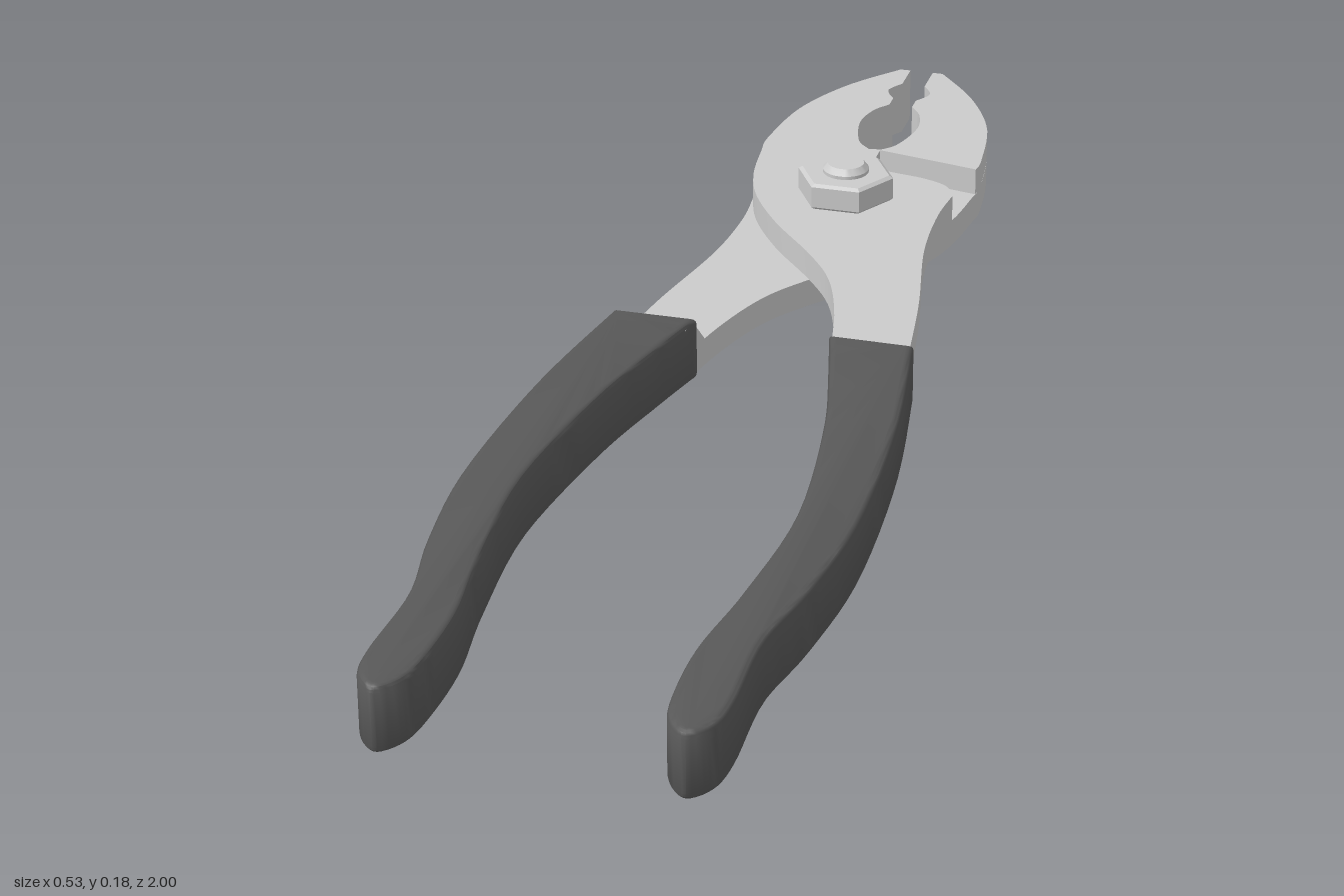
import * as THREE from 'three';
import { toCreasedNormals } from 'three/addons/utils/BufferGeometryUtils.js';

const MID = 0.087;      // height where the two plates meet
const HALF = 0.041;     // thickness of one plate
const PIVOT_Z = -0.515;

const steel = new THREE.MeshStandardMaterial({ color: 0xcccccc });
const rubber = new THREE.MeshStandardMaterial({ color: 0x585858 });

function mesh(name, geometry, material, crease = 0.5) {
  const m = new THREE.Mesh(toCreasedNormals(geometry, crease), material);
  m.name = name;
  return m;
}

// Joins runs of (x, z) points; each run is a smooth curve, with corners between runs.
function outline(runs) {
  const points = [];
  for (const run of runs) {
    const v = run.map(([x, z]) => new THREE.Vector2(x, z));
    const samples = v.length > 2 ? new THREE.SplineCurve(v).getPoints(v.length * 5) : v;
    for (const p of samples) {
      if (!points.length || points[points.length - 1].distanceTo(p) > 1e-4) points.push(p);
    }
  }
  if (points[0].distanceTo(points[points.length - 1]) < 1e-4) points.pop();
  return new THREE.Shape(points);
}

// Extrudes a plan-view shape upward from y0 to y1, with optional rounded edges.
function slab(shape, y0, y1, round = 0) {
  const g = new THREE.ExtrudeGeometry(shape, {
    depth: y1 - y0 - 2 * round, bevelEnabled: round > 0, bevelSize: round,
    bevelThickness: round, bevelOffset: -round, bevelSegments: 4,
  });
  return g.rotateX(Math.PI / 2).translate(0, y1 - round, 0);
}

// Gripping edge of the jaw, from the throat to the tip
const jawInner = [
  [[-0.008, -0.688], [-0.03, -0.715], [-0.045, -0.78], [-0.037, -0.83], [-0.018, -0.86]],
  [[-0.018, -0.86], [-0.018, -0.885]],
  [[-0.018, -0.885], [-0.033, -0.915], [-0.018, -0.945]],
  [[-0.018, -0.945], [-0.018, -1]],
  [[-0.018, -1], [-0.034, -1]],
];
const jawOuter = [[-0.034, -1], [-0.1, -0.915], [-0.148, -0.81], [-0.166, -0.69], [-0.163, -0.64]];

function plateShape() {
  return outline([
    ...jawInner,
    [...jawOuter, [-0.152, -0.555], [-0.127, -0.48], [-0.074, -0.395], [0, -0.305],
      [0.048, -0.23], [0.082, -0.13], [0.105, -0.02]],
    [[0.105, -0.02], [0.214, -0.02]],
    [[0.214, -0.02], [0.19, -0.185], [0.157, -0.355], [0.148, -0.476], [0.153, -0.555]],
    [[0.153, -0.555], [0.135, -0.587], [0.095, -0.605], [0.035, -0.617], [0.013, -0.64], [0.01, -0.69]],
  ]);
}

const gripShape = () => outline([
  [[0.095, -0.05], [0.215, -0.05]],
  [[0.215, -0.05], [0.25, 0.185], [0.265, 0.45], [0.25, 0.635], [0.227, 0.77], [0.23, 0.91],
    [0.222, 0.97], [0.193, 1], [0.164, 0.97], [0.153, 0.91], [0.152, 0.8], [0.17, 0.66],
    [0.183, 0.45], [0.155, 0.21], [0.12, 0.05], [0.095, -0.05]],
]);

// Wedge that thickens the handle just ahead of the grip
function handleRamp() {
  const g = new THREE.BoxGeometry(1, 1, 1);
  const p = g.attributes.position;
  for (let i = 0; i < p.count; i++) {
    const outer = p.getX(i) > 0, low = p.getY(i) < 0, back = p.getZ(i) < 0;
    const z = !back ? -0.02 : low ? -0.045 : outer ? -0.1 : -0.08;
    const x = outer ? 0.217 + z * 0.15 : 0.107 + z * 0.2;
    p.setXYZ(i, x, low ? MID - HALF : MID, z);
  }
  return g;
}

// One half: a plate crossing from the -x jaw to the +x handle, in the upper layer
function plierHalf(name, slotted) {
  const half = new THREE.Group();
  half.name = name;

  const plate = plateShape();
  if (slotted) {
    // Slip-joint slot
    const slot = new THREE.Path(), a = Math.atan2(-0.055, -0.08);
    slot.absarc(-0.08, PIVOT_Z - 0.055, 0.033, a - Math.PI / 2, a + Math.PI / 2, false);
    slot.absarc(0, PIVOT_Z, 0.033, a + Math.PI / 2, a + Math.PI * 1.5, false);
    plate.holes.push(slot);
  }
  half.add(mesh('plate', slab(plate, MID, MID + HALF), steel));

  // The jaw fills both layers ahead of the joint
  const jaw = outline([
    ...jawInner,
    [...jawOuter.slice(0, -1), [-0.165, -0.657]],
    [[-0.165, -0.657], [-0.008, -0.688]],
  ]);
  half.add(mesh('jaw', slab(jaw, MID - HALF, MID), steel));
  half.add(mesh('handleRamp', handleRamp(), steel));
  half.add(mesh('grip', slab(gripShape(), MID - 0.048, MID + 0.048, 0.01), rubber, 0.7));
  return half;
}

function lathe(profile, segments) {
  return new THREE.LatheGeometry(profile.map(([r, y]) => new THREE.Vector2(r, y)), segments, Math.PI / 2);
}

export function createModel() {
  const model = new THREE.Group();
  model.name = 'pliers';

  model.add(plierHalf('upperHalf', false));
  // The second half is the first turned over about its long axis
  const lower = plierHalf('lowerHalf', true);
  lower.rotation.z = Math.PI;
  lower.position.y = 2 * MID;
  model.add(lower);

  // Pivot bolt: chamfered head below, shaft, hex nut and threaded end above
  const head = mesh('boltHead', lathe([[0, 0], [0.057, 0], [0.082, 0.02], [0.082, 0.046], [0, 0.046]], 48), steel);
  head.position.set(-0.028, 0, PIVOT_Z);
  const shaft = mesh('boltShaft', lathe(
    [[0, 0.04], [0.034, 0.04], [0.034, 0.173], [0.027, 0.182], [0, 0.182]], 32), steel);
  const nut = mesh('nut', lathe(
    [[0, 0.127], [0.066, 0.127], [0.072, 0.132], [0.072, 0.164], [0.066, 0.168], [0, 0.168]], 6), steel, 0.1);
  for (const part of [shaft, nut]) part.position.z = PIVOT_Z;
  model.add(head, shaft, nut);

  return model;
}
